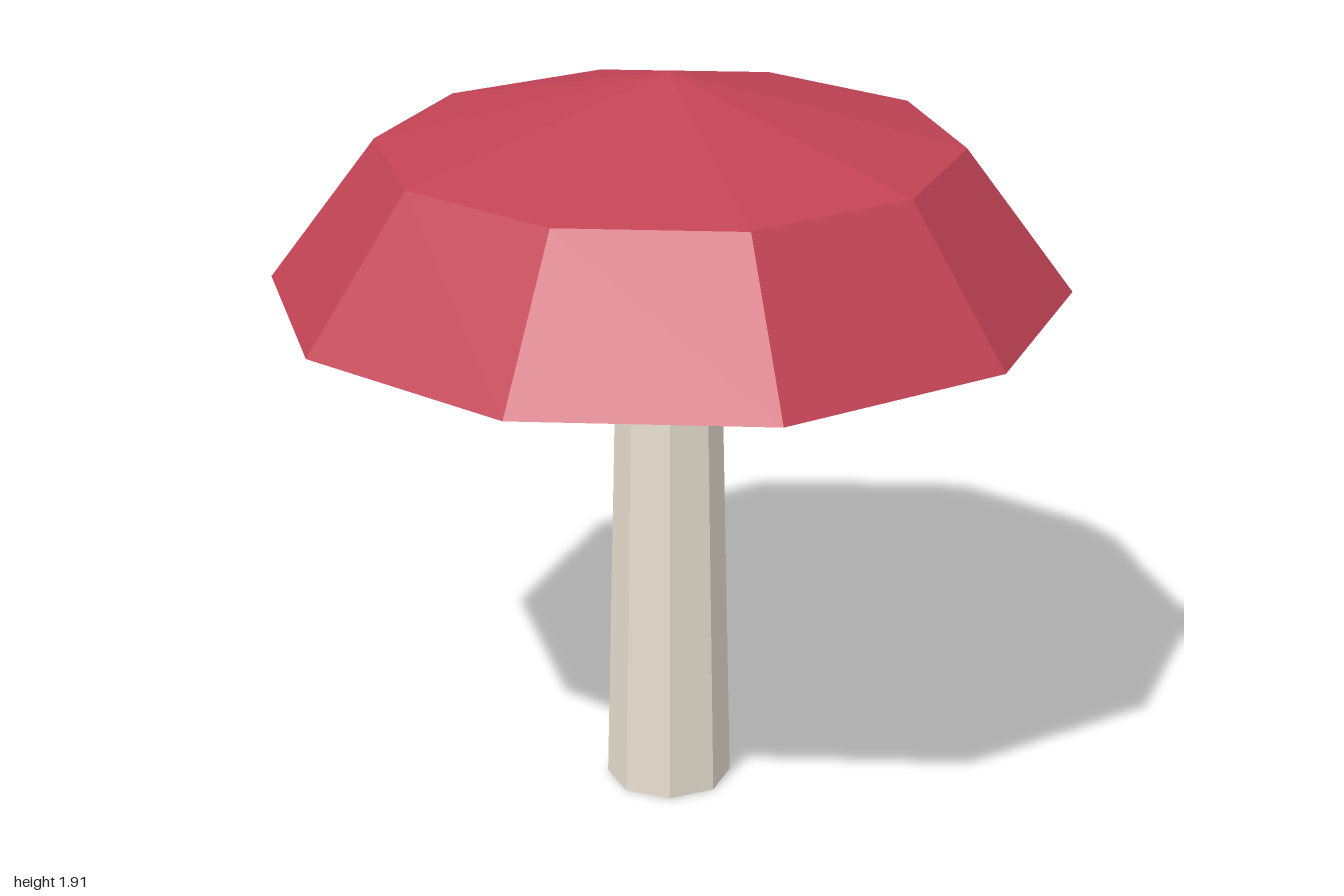
import * as THREE from 'three';

export function createModel() {
  const group = new THREE.Group();
  group.name = 'mushroom';

  const capRed = new THREE.MeshStandardMaterial({ color: 0xc24355, flatShading: true });
  capRed.name = 'capRed';
  const stemCream = new THREE.MeshStandardMaterial({ color: 0xe8dfd0, flatShading: true });
  stemCream.name = 'stemCream';

  // Cap: ten-sided lathe with a flat underside, steep skirt and shallow peak
  const profile = [[0, 1.365], [1, 1.365], [0.727, 1.728], [0, 1.908]]
    .map(([r, y]) => new THREE.Vector2(r, y));
  const cap = new THREE.Mesh(new THREE.LatheGeometry(profile, 10), capRed);
  cap.name = 'cap';
  group.add(cap);

  // Stem: tapered octagon with flat sides to the front, back, left and right
  const stemHeight = 1.38;
  const stemGeometry = new THREE.CylinderGeometry(0.129, 0.162, stemHeight, 8);
  stemGeometry.rotateY(Math.PI / 8);
  stemGeometry.translate(0, stemHeight / 2, 0);
  const stem = new THREE.Mesh(stemGeometry, stemCream);
  stem.name = 'stem';
  group.add(stem);

  return group;
}
